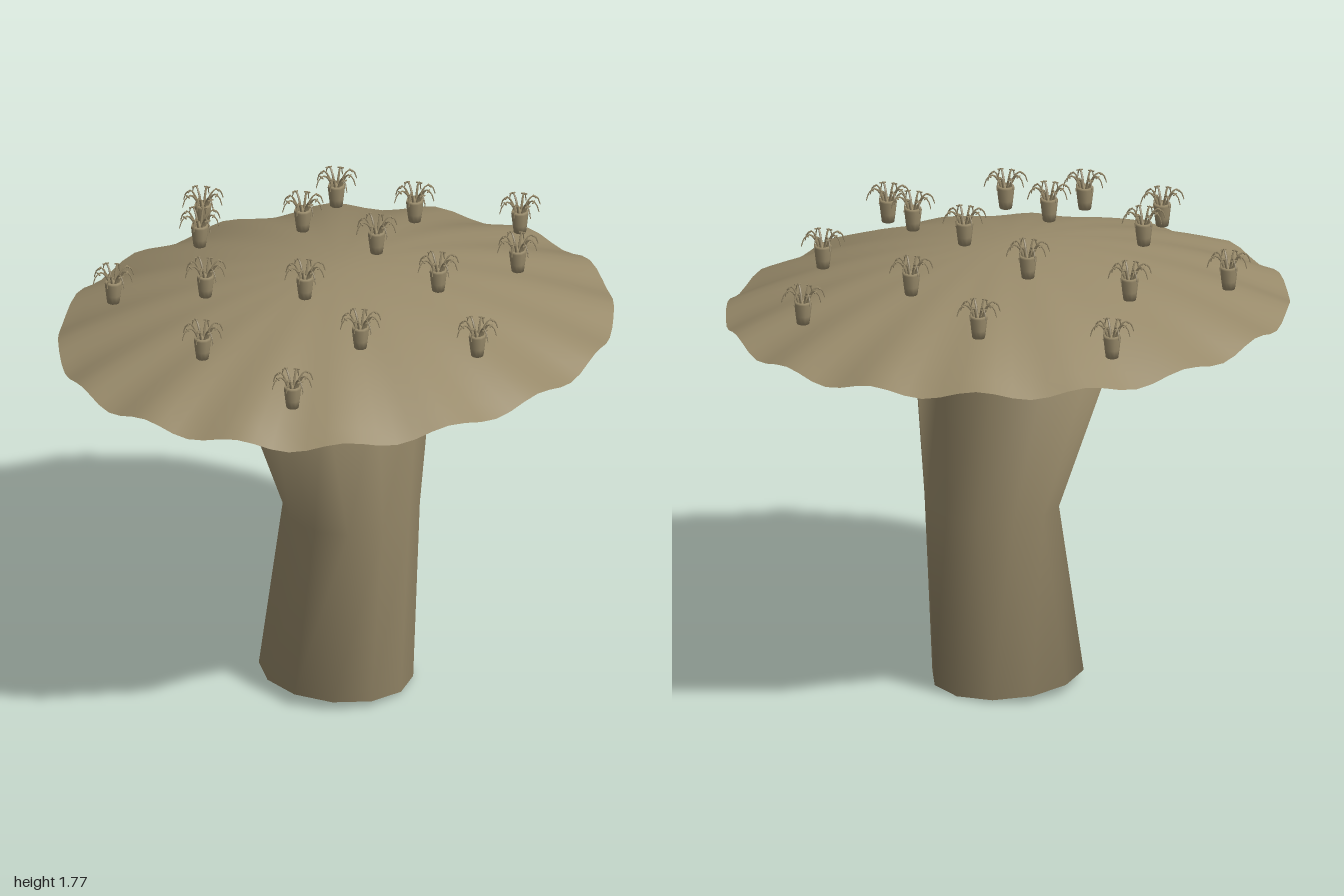
import * as THREE from 'three';

const material = new THREE.MeshStandardMaterial({ color: 0x988a6a, side: THREE.DoubleSide });

function addMesh(parent, geometry, name) {
  const mesh = new THREE.Mesh(geometry, material);
  mesh.name = name;
  parent.add(mesh);
  return mesh;
}

function indexed(positions, indices) {
  const g = new THREE.BufferGeometry();
  g.setAttribute('position', new THREE.Float32BufferAttribute(positions, 3));
  g.setIndex(indices);
  g.computeVertexNormals();
  return g;
}

// Stem: tilted rings joined by smooth walls, closed at both ends
function stemGeometry() {
  const sides = 12;
  const rings = [ // centre x, centre y, radius, tilt
    [0, 0.035, 0.27, -0.09],
    [0.06, 0.68, 0.24, 0.03],
    [-0.03, 1.385, 0.38, 0.15],
  ];
  const p = [], idx = [];
  for (const [cx, cy, r, tilt] of rings) {
    for (let i = 0; i < sides; i++) {
      const a = (i / sides) * Math.PI * 2;
      p.push(cx + r * Math.cos(a), cy + r * Math.cos(a) * tilt, r * Math.sin(a));
    }
  }
  for (let k = 0; k < 2; k++) {
    for (let i = 0; i < sides; i++) {
      const a = k * sides + i, b = k * sides + (i + 1) % sides;
      idx.push(a, a + sides, b, b, a + sides, b + sides);
    }
  }
  const top = 2 * sides;
  for (let i = 1; i < sides - 1; i++) {
    idx.push(0, i, i + 1, top, top + i + 1, top + i);
  }
  return indexed(p, idx);
}

// Cap: thin oval dome whose ripples grow towards the rim
const DEPTH = 0.857;
const domeHeight = (r) => 1.39 + 0.25 * (1 - Math.pow(r, 1.8));

function capGeometry() {
  const rings = 14, sides = 96, p = [0, domeHeight(0), 0], idx = [];
  for (let k = 1; k <= rings; k++) {
    const r = k / rings;
    for (let i = 0; i < sides; i++) {
      const a = (i / sides) * Math.PI * 2;
      const ripple = 0.016 * Math.cos(16 * (a - Math.PI / 2)) + 0.005 * Math.sin(5 * a + 1);
      p.push(r * Math.cos(a), domeHeight(r) + ripple * Math.pow(r, 3), DEPTH * r * Math.sin(a));
    }
  }
  for (let i = 0; i < sides; i++) {
    const j = (i + 1) % sides;
    idx.push(0, 1 + j, 1 + i);
    for (let k = 0; k < rings - 1; k++) {
      const a = 1 + k * sides + i, b = 1 + k * sides + j;
      idx.push(a, b, a + sides, b, b + sides, a + sides);
    }
  }
  return indexed(p, idx);
}

// Polyp parts, shared by every polyp
const stalkGeometry = new THREE.LatheGeometry([
  [0, 0], [0.022, 0], [0.026, 0.03], [0.031, 0.075], [0.029, 0.083], [0.018, 0.08], [0, 0.074],
].map(([x, y]) => new THREE.Vector2(x, y)), 10);

function tentacleGeometry(reach) {
  const curve = new THREE.CatmullRomCurve3([
    [0.015, 0.075], [0.028, 0.108], [0.6 * reach, 0.128], [0.86 * reach, 0.117], [reach, 0.088],
  ].map(([x, y]) => new THREE.Vector3(x, y, 0)));
  const radial = 4, steps = 9;
  const g = new THREE.TubeGeometry(curve, steps, 0.005, radial);
  // Taper each ring towards the tip
  const pos = g.attributes.position, v = new THREE.Vector3();
  for (let i = 0; i < pos.count; i++) {
    const t = Math.floor(i / (radial + 1)) / steps;
    const c = curve.getPointAt(t);
    v.fromBufferAttribute(pos, i).sub(c).multiplyScalar(1 - 0.65 * t).add(c);
    pos.setXYZ(i, v.x, v.y, v.z);
  }
  return g;
}
const longTentacle = tentacleGeometry(0.08);
const shortTentacle = tentacleGeometry(0.07);
const barbGeometry = new THREE.BoxGeometry(0.004, 0.004, 0.022);

function createPolyp() {
  const polyp = new THREE.Group();
  polyp.name = 'polyp';
  addMesh(polyp, stalkGeometry, 'polypStalk');
  for (let i = 0; i < 8; i++) {
    const arm = new THREE.Group();
    arm.name = 'tentacleArm';
    arm.rotation.y = (i * Math.PI) / 4;
    addMesh(arm, i % 2 ? shortTentacle : longTentacle, 'tentacle');
    addMesh(arm, barbGeometry, 'tentacleBarb').position.set(i % 2 ? 0.05 : 0.058, 0.124, 0);
    polyp.add(arm);
  }
  return polyp;
}

// Polyp places on the cap: x, z
const places = [
  [-0.13, -0.76], [0.3, -0.575], [-0.29, -0.475], [-0.7, -0.34], [0.03, -0.31],
  [0.44, -0.25], [0.81, -0.165], [-0.475, -0.075], [0.16, 0], [-0.205, 0.16],
  [0.62, 0.185], [-0.645, 0.23], [0.255, 0.285], [-0.15, 0.475], [-0.485, 0.605], [0.235, 0.62],
];

export function createModel() {
  const model = new THREE.Group();
  model.name = 'coralMushroom';
  addMesh(model, stemGeometry(), 'stem');
  addMesh(model, capGeometry(), 'cap');
  for (const [x, z] of places) {
    const r = Math.hypot(x, z / DEPTH);
    const polyp = createPolyp();
    polyp.position.set(x, domeHeight(r) + 0.015 + 0.02 * r, z);
    model.add(polyp);
  }
  return model;
}
